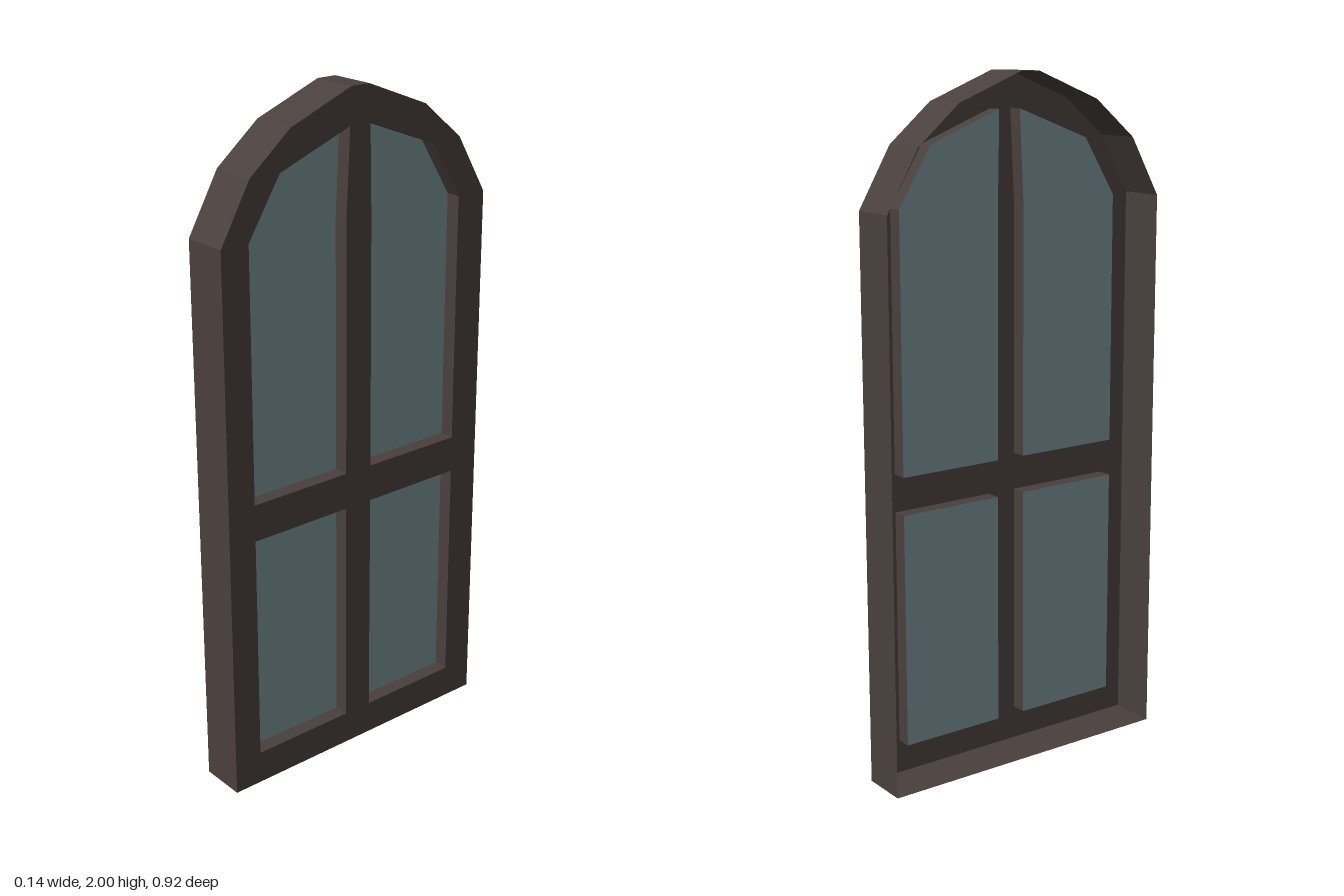
import * as THREE from 'three';

const DEPTH = 0.07;   // half thickness of the frame
const GLASS_X = 0.025; // plane of the panes

// Outlines run counter-clockwise as [across, up]; across points toward -z.
const outline = [
  [-0.462, 0], [0.462, 0], [0.462, 1.64], [0.363, 1.81], [0.233, 1.92], [0.03, 2],
  [-0.03, 2], [-0.233, 1.92], [-0.366, 1.81], [-0.462, 1.64],
];
const panes = {
  lowerFrontPane: [[-0.374, 0.1], [-0.048, 0.1], [-0.048, 0.79], [-0.374, 0.79]],
  lowerRearPane: [[0.043, 0.1], [0.365, 0.1], [0.365, 0.79], [0.043, 0.79]],
  upperFrontPane: [[-0.374, 0.9], [-0.048, 0.9], [-0.048, 1.64], [-0.035, 1.896],
    [-0.27, 1.808], [-0.374, 1.64]],
  upperRearPane: [[0.043, 0.9], [0.365, 0.9], [0.365, 1.64], [0.262, 1.808],
    [0.035, 1.896], [0.04, 1.64]],
};

const toVectors = (pts) => pts.map(([s, y]) => new THREE.Vector2(s, y));

// Flat sheet facing +x
function sheet(pts, x, holes = []) {
  const shape = new THREE.Shape(toVectors(pts));
  shape.holes = holes.map((h) => new THREE.Path(toVectors(h)));
  return new THREE.ShapeGeometry(shape).rotateY(Math.PI / 2).translate(x, 0, 0);
}

// Open band of walls following an outline between two depths
function band(pts, x0, x1) {
  const pos = [];
  pts.forEach(([s, y], i) => {
    const [t, w] = pts[(i + 1) % pts.length];
    const a = [x0, y, -s], b = [x0, w, -t], c = [x1, w, -t], d = [x1, y, -s];
    pos.push(...a, ...b, ...c, ...a, ...c, ...d);
  });
  const geo = new THREE.BufferGeometry();
  geo.setAttribute('position', new THREE.Float32BufferAttribute(pos, 3));
  geo.computeVertexNormals();
  return geo;
}

export function createModel() {
  const model = new THREE.Group();
  model.name = 'archedWindow';
  const material = (color) =>
    new THREE.MeshStandardMaterial({ color, flatShading: true, side: THREE.DoubleSide });
  const wood = material(0x4a403d);
  const glass = material(0x78908f);
  glass.color.set(0x789095);

  const add = (name, geo, mat) => {
    const mesh = new THREE.Mesh(geo, mat);
    mesh.name = name;
    model.add(mesh);
  };

  // Hollow frame: outer walls and pierced face, open at the back
  add('outerWalls', band(outline, -DEPTH, DEPTH), wood);
  add('frameFace', sheet(outline, DEPTH, Object.values(panes)), wood);

  // Recessed panes with their reveals
  for (const [name, pts] of Object.entries(panes)) {
    add(name, sheet(pts, GLASS_X), glass);
    add(name + 'Reveal', band([...pts].reverse(), GLASS_X, DEPTH), wood);
  }
  return model;
}
